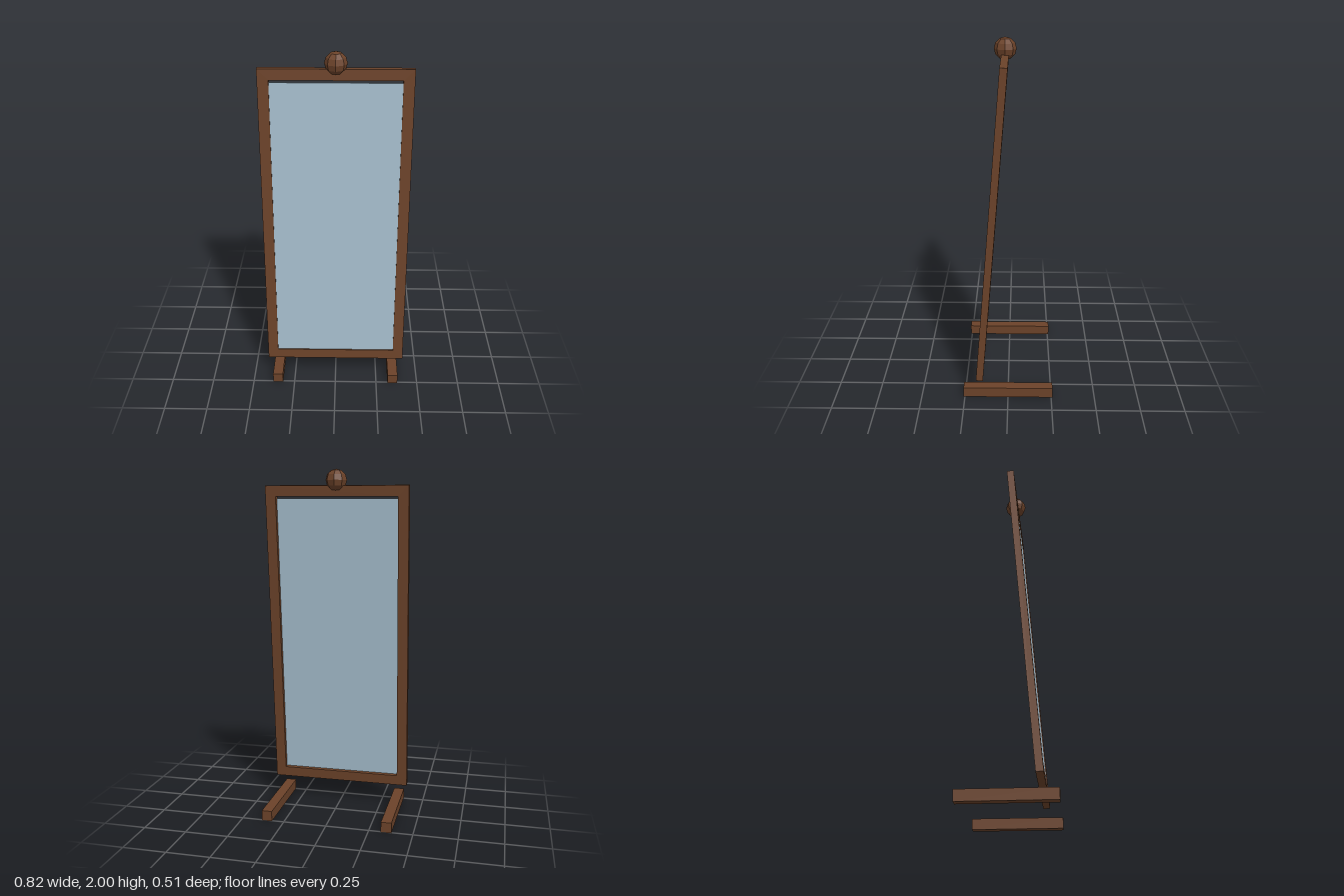
import * as THREE from 'three';

const wood = new THREE.MeshStandardMaterial({ color: 0x6b4229, flatShading: true });
const glass = new THREE.MeshStandardMaterial({ color: 0xa4bccb });

function addPart(parent, name, geometry, material, x, y, z) {
  const mesh = new THREE.Mesh(geometry, material);
  mesh.name = name;
  mesh.position.set(x, y, z);
  parent.add(mesh);
  return mesh;
}

// Rectangle centred on the origin, as a path or shape
function rectangle(path, width, height) {
  const w = width / 2, h = height / 2;
  path.moveTo(-w, -h);
  path.lineTo(w, -h);
  path.lineTo(w, h);
  path.lineTo(-w, h);
  path.closePath();
  return path;
}

export function createModel() {
  const model = new THREE.Group();
  model.name = 'standingMirror';

  // Leaning panel: frame and glass tilt back together
  const panel = new THREE.Group();
  panel.name = 'mirrorPanel';
  panel.position.set(0, 1.02, 0.0915);
  panel.rotation.x = -0.08;
  model.add(panel);

  const width = 0.82, height = 1.787, bar = 0.06, depth = 0.04;
  const outline = rectangle(new THREE.Shape(), width, height);
  outline.holes.push(rectangle(new THREE.Path(), width - 2 * bar, height - 2 * bar));
  const frame = new THREE.ExtrudeGeometry(outline, { depth, bevelEnabled: false });
  addPart(panel, 'frame', frame, wood, 0, 0, -depth / 2);

  // Thin glass near the front, leaving a slit under the top rail
  addPart(panel, 'mirrorGlass', new THREE.BoxGeometry(0.7, 1.66, 0.01), glass, 0, -0.01, 0.009);

  // Faceted ball on the top rail
  addPart(model, 'finial', new THREE.SphereGeometry(0.061, 8, 6), wood, 0, 1.939, 0.02);

  // Two floor runners
  for (const side of [-1, 1]) {
    addPart(model, side > 0 ? 'leftFoot' : 'rightFoot',
      new THREE.BoxGeometry(0.06, 0.06, 0.514), wood, side * 0.35, 0.03, 0);
  }

  return model;
}
